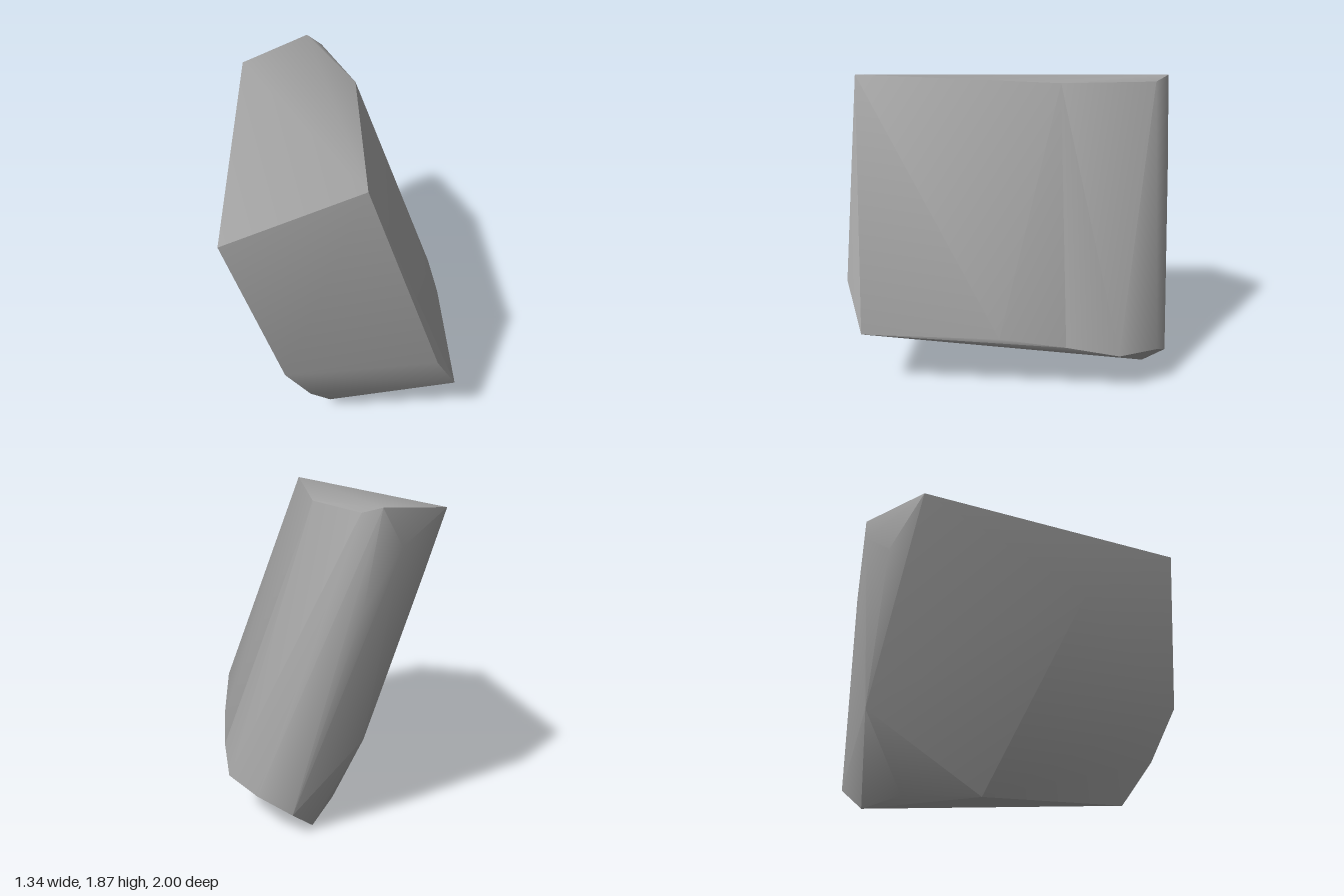
import * as THREE from 'three';
import { ConvexGeometry } from 'three/addons/geometries/ConvexGeometry.js';
import { toCreasedNormals } from 'three/addons/utils/BufferGeometryUtils.js';

// Corners of the leaning stone block, grouped by region
const top = [
  [-0.67, 1.5, 0.945], [0.1, 1.865, 0.995], [0.09, 1.82, -0.3],
  [-0.12, 1.815, -0.9], [-0.22, 1.85, -0.985], [-0.64, 1.81, -0.63],
];
const frontLower = [
  [0.53, 0.65, 0.985], [0.67, 0.355, 0.875], [-0.36, 0.59, 1],
  [-0.22, 0.28, 0.875], [-0.1, 0.03, 0.71],
];
const rightFoot = [
  [0.67, 0.355, 0.03], [0.655, 0.31, -0.37], [0.62, 0.25, -0.69],
  [0.455, 0.23, -0.93], [0.26, 0.14, -1],
];
const leftFoot = [[0.14, 0, -0.87], [0, 0.055, -0.64], [-0.075, 0.05, -0.16]];
const backLeft = [
  [-0.33, 1.645, -0.97], [-0.48, 1.48, -0.82], [-0.15, 0.54, -0.89],
  [-0.12, 1.3, -1], [-0.585, 1.22, 0.4],
];

export function createModel() {
  const group = new THREE.Group();
  group.name = 'stoneBlock';

  const stone = new THREE.MeshStandardMaterial({ color: 0xa0a0a0 });
  stone.name = 'stone grey';

  // Convex stone: gentle bends are smooth, strong edges stay sharp
  const corners = [...top, ...frontLower, ...rightFoot, ...leftFoot, ...backLeft]
    .map((p) => new THREE.Vector3(...p));
  const geometry = toCreasedNormals(new ConvexGeometry(corners), 0.7);
  const rock = new THREE.Mesh(geometry, stone);
  rock.name = 'rock';
  group.add(rock);
  return group;
}
